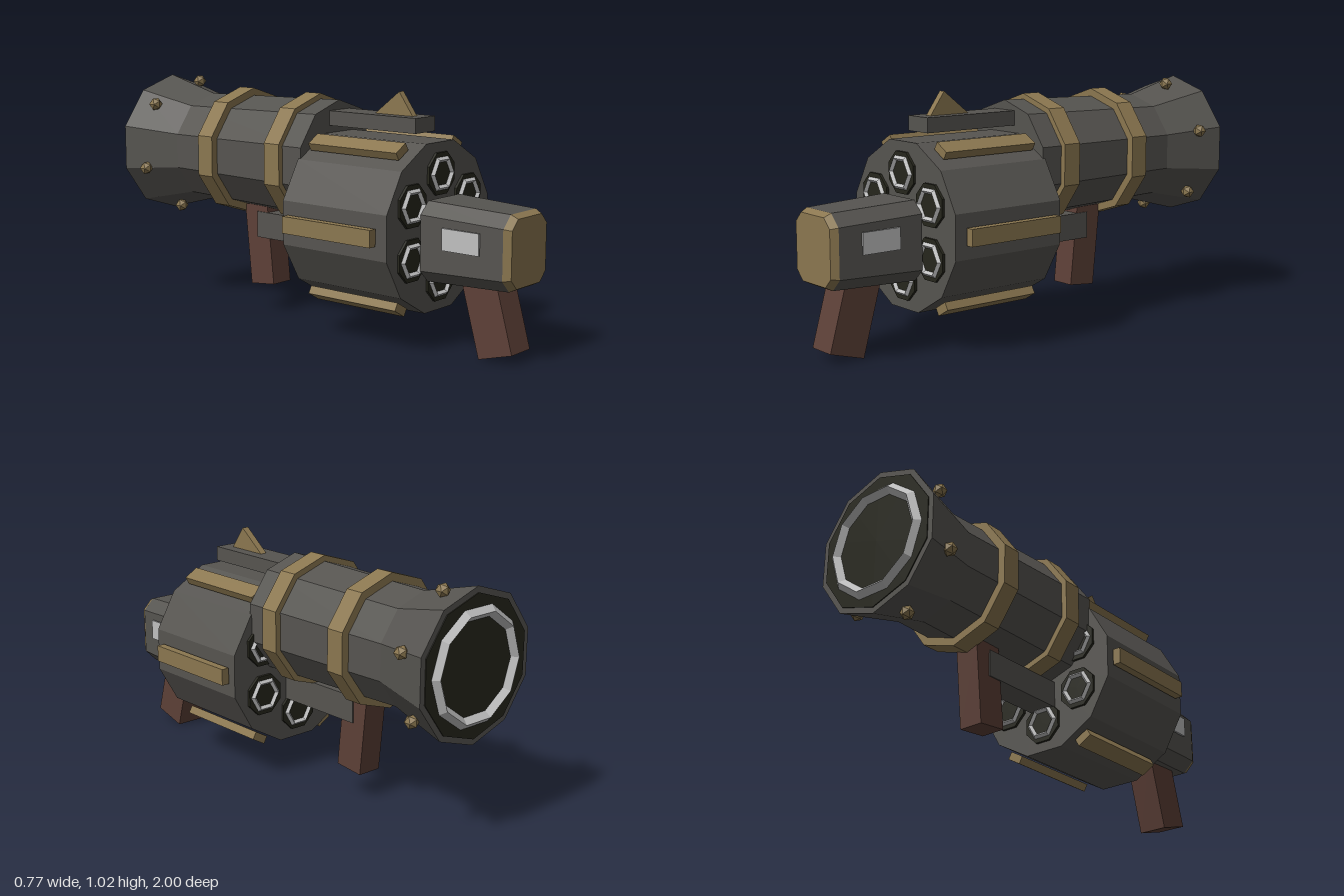
import * as THREE from 'three';

const mat = (name, color) => {
  const m = new THREE.MeshStandardMaterial({ color, flatShading: true });
  m.name = name;
  return m;
};

export function createModel() {
  const metal = mat('gunmetal', 0x565450);
  const brass = mat('brass', 0x8b7750);
  const wood = mat('wood', 0x5d4037);
  const dark = mat('darkBore', 0x26261c);
  const steel = mat('paleSteel', 0xc0c0c0);

  const model = new THREE.Group();
  model.name = 'launcher';
  const add = (name, geometry, material, x = 0, y = 0, z = 0) => {
    const m = new THREE.Mesh(geometry, material);
    m.name = name;
    m.position.set(x, y, z);
    model.add(m);
    return m;
  };
  const box = (w, h, d) => new THREE.BoxGeometry(w, h, d);

  // Prism along z from zBack to zFront, turned about its own axis
  const prism = (rFront, rBack, zBack, zFront, sides, turn = 0) =>
    new THREE.CylinderGeometry(rFront, rBack, zFront - zBack, sides)
      .rotateX(Math.PI / 2).rotateZ(turn).translate(0, 0, (zBack + zFront) / 2);

  // Rectangle with cut corners, counter-clockwise seen from the front
  const section = ({ z, hw, hh, cy, c }) => [
    [hw, -hh + c], [hw, hh - c], [hw - c, hh], [-hw + c, hh],
    [-hw, hh - c], [-hw, -hh + c], [-hw + c, -hh], [hw - c, -hh],
  ].map(([x, y]) => [x, y + cy, z]);

  // Skin between two sections, closed at the back or front
  const loft = (back, front, capBack, capFront) => {
    const a = section(back), b = section(front), p = [];
    const n = a.length;
    for (let i = 0; i < n; i++) {
      const j = (i + 1) % n;
      p.push(...a[i], ...a[j], ...b[j], ...a[i], ...b[j], ...b[i]);
      if (i > 0 && i < n - 1) {
        if (capBack) p.push(...a[0], ...a[j], ...a[i]);
        if (capFront) p.push(...b[0], ...b[i], ...b[j]);
      }
    }
    const g = new THREE.BufferGeometry();
    g.setAttribute('position', new THREE.Float32BufferAttribute(p, 3));
    g.computeVertexNormals();
    return g;
  };

  const drumY = 0.498, barrelY = 0.715;

  // Revolving drum and its hub
  add('drum', prism(0.355, 0.355, 0.04, 0.575, 12, Math.PI / 12), metal, 0, drumY);
  add('drumHub', prism(0.1, 0.1, 0.57, 0.605, 8, Math.PI / 8), brass, 0, drumY);

  for (let i = 0; i < 6; i++) {
    // Chambers showing at both ends, each with a hexagonal rim
    const a = Math.PI / 6 + i * Math.PI / 3;
    const x = Math.cos(a) * 0.217, y = drumY + Math.sin(a) * 0.217;
    add('chamber', prism(0.092, 0.092, 0.028, 0.586, 8, Math.PI / 8), dark, x, y);
    for (const z of [0.027, 0.587]) {
      add('chamberRim', new THREE.TorusGeometry(0.065, 0.012, 4, 6), steel, x, y, z);
    }
    // Slats around the drum
    const s = i * Math.PI / 3;
    const slat = add('drumSlat', box(0.035, 0.07, 0.455), brass,
      Math.cos(s) * 0.367, drumY + Math.sin(s) * 0.367, 0.298);
    slat.rotation.z = s;
    // Rivets around the muzzle
    const r = 0.3 + i * Math.PI / 3;
    add('muzzleRivet', new THREE.IcosahedronGeometry(0.03, 0), brass,
      Math.cos(r) * 0.292, barrelY + Math.sin(r) * 0.292, -0.855);
  }

  // Barrel, flared muzzle and bore
  add('barrel', prism(0.26, 0.242, -0.7, 0.05, 10), metal, 0, barrelY);
  add('muzzle', prism(0.242, 0.313, -0.972, -0.7, 10), metal, 0, barrelY);
  add('bore', prism(0.288, 0.288, -0.976, -0.968, 10), dark, 0, barrelY);
  add('muzzleRim', new THREE.TorusGeometry(0.22, 0.025, 4, 10), steel, 0, barrelY, -0.975);
  for (const z of [-0.095, -0.487]) {
    add('barrelBand', prism(0.281, 0.281, z - 0.042, z + 0.042, 10), brass, 0, barrelY);
  }

  // Top rail with a triangular sight
  add('topRail', box(0.13, 0.062, 0.46), metal, 0, 0.903, 0.27);
  const tri = new THREE.Shape([[-0.45, 0.93], [-0.25, 0.93], [-0.378, 1.03]]
    .map(([x, y]) => new THREE.Vector2(x, y)));
  add('sight', new THREE.ExtrudeGeometry(tri, { depth: 0.03, bevelEnabled: false })
    .translate(0, 0, -0.015).rotateY(Math.PI / 2), brass);

  // Tapered rear housing with a bevelled end cap and side plates
  const s0 = { z: 0.597, hw: 0.155, hh: 0.163, cy: 0.457, c: 0.05 };
  const s1 = { z: 0.97, hw: 0.138, hh: 0.151, cy: 0.455, c: 0.05 };
  const s2 = { z: 1.0, hw: 0.122, hh: 0.136, cy: 0.455, c: 0.04 };
  add('rearHousing', loft(s0, s1, true, false), metal);
  add('rearCap', loft(s1, s2, false, true), brass);
  for (const side of [-1, 1]) {
    add('sidePlate', box(0.009, 0.088, 0.172), steel, side * 0.159, 0.487, 0.791);
  }

  // Grips and lower rail
  add('rearGrip', box(0.13, 0.36, 0.16), wood, 0, 0.2, 0.848).rotation.x = -0.275;
  add('lowerRail', box(0.12, 0.115, 0.42), metal, 0, 0.398, -0.165);
  add('frontGrip', box(0.11, 0.36, 0.134), wood, 0, 0.308, -0.368).rotation.x = -0.1;

  return model;
}
